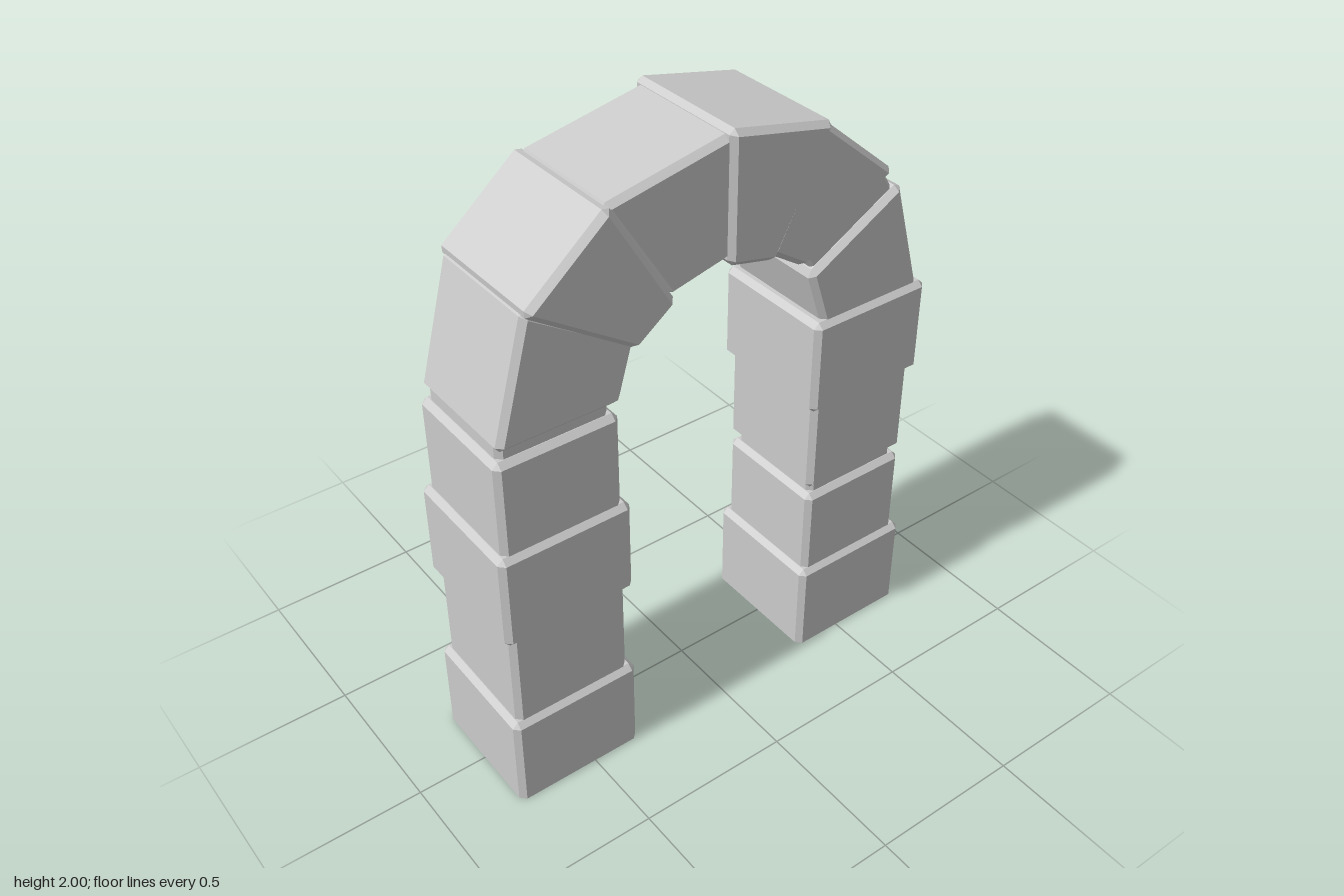
import * as THREE from 'three';
import { ConvexGeometry } from 'three/addons/geometries/ConvexGeometry.js';

const WIDE = 0.217, NARROW = 0.2, NECK = 0.18; // half depths
const BEVEL = 0.018;

const material = new THREE.MeshStandardMaterial({ color: 0xcccccc, flatShading: true });

// Chamfered stone from four outline corners [x, y] and a half depth.
// Corners lying on the ground keep a sharp lower edge.
function stone(name, corners, halfDepth, bevel = BEVEL) {
  const outline = corners.map(([x, y]) => new THREE.Vector3(x, y, 0));
  const points = [];
  outline.forEach((corner, i) => {
    const toNext = outline[(i + 1) % 4].clone().sub(corner).setLength(bevel);
    const toPrev = outline[(i + 3) % 4].clone().sub(corner).setLength(bevel);
    for (const side of [-1, 1]) {
      const c = corner.clone().setZ(side * halfDepth);
      const inward = new THREE.Vector3(0, 0, -side * bevel);
      if (corner.y === 0) {
        const along = Math.abs(toNext.y) < 1e-6 ? toNext : toPrev;
        points.push(c.clone().add(along), c.clone().add(inward));
      } else {
        points.push(
          c.clone().add(toNext).add(toPrev),
          c.clone().add(toNext).add(inward),
          c.clone().add(toPrev).add(inward)
        );
      }
    }
  });
  const mesh = new THREE.Mesh(new ConvexGeometry(points), material);
  mesh.name = name;
  return mesh;
}

// Upright block of a pillar
function block(name, x, halfWidth, y0, y1, halfDepth) {
  const l = x - halfWidth, r = x + halfWidth;
  return stone(name, [[l, y0], [r, y0], [r, y1], [l, y1]], halfDepth);
}

// Pillar made of [kind, bottom, top] courses
function pillar(name, x, courses) {
  const sizes = { wide: [0.217, WIDE], narrow: [0.197, NARROW], neck: [0.177, NECK] };
  const group = new THREE.Group();
  group.name = name;
  courses.forEach(([kind, y0, y1], i) => {
    const [halfWidth, halfDepth] = sizes[kind];
    group.add(block(`${name}${kind}Block${i + 1}`, x, halfWidth, y0, y1, halfDepth));
  });
  return group;
}

export function createModel() {
  const model = new THREE.Group();
  model.name = 'stoneArch';

  // Pillars; narrow courses run slightly into the wide ones
  model.add(pillar('rightPillar', -0.552, [
    ['wide', 0, 0.322],
    ['narrow', 0.3, 0.67],
    ['wide', 0.64, 0.963],
    ['narrow', 0.94, 1.272],
    ['neck', 1.23, 1.34],
  ]));
  model.add(pillar('leftPillar', 0.548, [
    ['wide', 0, 0.322],
    ['narrow', 0.3, 0.624],
    ['neck', 0.59, 0.7],
    ['narrow', 0.652, 0.99],
    ['wide', 0.965, 1.285],
  ]));

  // Wedge stones of the arch, corners counter-clockwise
  const arch = new THREE.Group();
  arch.name = 'archRing';
  const wedges = [
    [NARROW, [[-0.74, 1.303], [-0.35, 1.303], [-0.298, 1.485], [-0.632, 1.7]]],
    [WIDE, [[-0.645, 1.692], [-0.302, 1.462], [-0.17, 1.56], [-0.38, 1.917]]],
    [NARROW, [[-0.39, 1.907], [-0.185, 1.572], [0.02, 1.62], [0.02, 1.988]]],
    [WIDE, [[0, 2.004], [0, 1.603], [0.165, 1.565], [0.355, 1.928]]],
    [NARROW, [[0.335, 1.926], [0.155, 1.578], [0.287, 1.492], [0.608, 1.695]]],
    [NARROW, [[0.638, 1.648], [0.306, 1.458], [0.372, 1.26], [0.75, 1.26]]],
  ];
  wedges.forEach(([halfDepth, corners], i) =>
    arch.add(stone(`archStone${i + 1}`, corners, halfDepth)));

  // Recessed joint between the two narrow wedge stones
  arch.add(stone('archJoint',
    [[0.578, 1.698], [0.294, 1.518], [0.342, 1.442], [0.626, 1.622]], NECK, 0.01));
  model.add(arch);

  return model;
}
